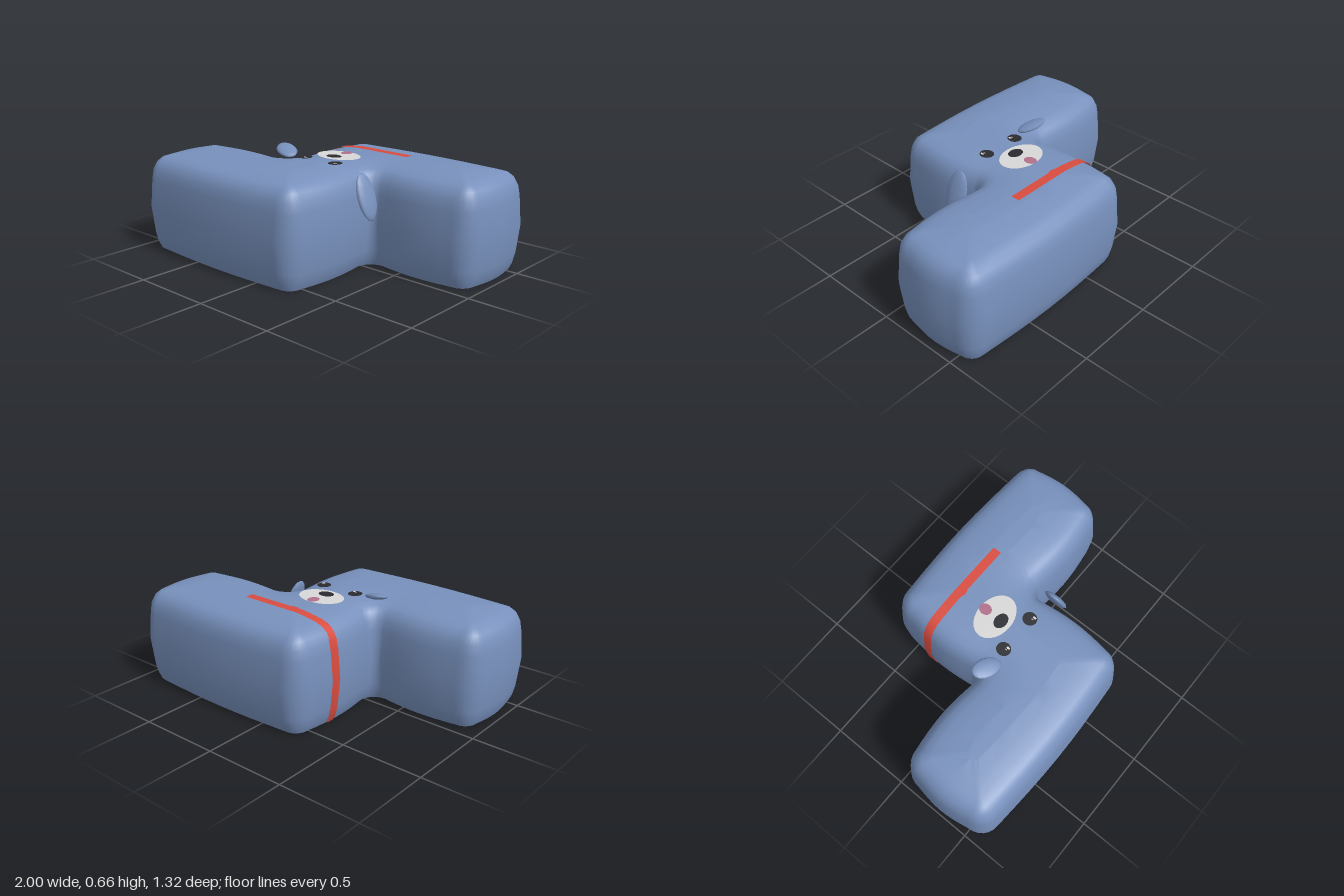
import * as THREE from 'three';

const mat = (name, color, side = THREE.FrontSide) => {
  const m = new THREE.MeshStandardMaterial({ color, side });
  m.name = name;
  return m;
};

// Side profile of the shell: [height, inset from the widest outline]
const PROFILE = [[0, 0.05], [0.04, 0.032], [0.1, 0.018], [0.27, 0], [0.44, 0.015], [0.5, 0.026],
  [0.545, 0.05], [0.572, 0.085], [0.587, 0.13], [0.598, 0.2], [0.606, 0.27]];

// Corners (x, z) of the S-shaped plan, clockwise from above
const CORNERS = [[-0.977, 0.025], [-0.302, 0.025], [-0.302, -0.64], [0.977, -0.64],
  [0.977, -0.025], [0.302, -0.025], [0.302, 0.64], [-0.977, 0.64]].map(([x, z]) => new THREE.Vector2(x, z));
const BOW = 0.022;

// Plan outline inset by d, with rounded corners and slightly bowed edges
function outline(d) {
  const n = CORNERS.length;
  const dirs = CORNERS.map((c, i) => CORNERS[(i + 1) % n].clone().sub(c).normalize());
  const arcs = CORNERS.map((c, i) => {
    const d1 = dirs[(i + n - 1) % n], d2 = dirs[i];
    const corner = c.clone().add(new THREE.Vector2(-d1.y - d2.y, d1.x + d2.x).multiplyScalar(d));
    const convex = d1.cross(d2) > 0;
    const r = convex ? Math.max(0.13 - d, 0.03) : 0.05 + d;
    const mid = corner.addScaledVector(d1, -r).addScaledVector(d2, r);
    return Array.from({ length: 7 }, (_, k) => {
      const t = (k / 6) * Math.PI / 2;
      return mid.clone().addScaledVector(d1, r * Math.sin(t)).addScaledVector(d2, -r * Math.cos(t));
    });
  });
  const pts = [];
  arcs.forEach((arc, i) => {
    pts.push(...arc);
    const a = arc[6], b = arcs[(i + 1) % n][0], dir = dirs[i];
    for (let k = 1; k < 8; k++) {
      const p = a.clone().lerp(b, k / 8);
      pts.push(p.addScaledVector(new THREE.Vector2(dir.y, -dir.x), BOW * Math.sin(Math.PI * k / 8)));
    }
  });
  return pts;
}

// Open-bottomed cushion-like shell built from stacked outlines and a flat cap
function bodyGeometry() {
  const rings = PROFILE.map(([, d]) => outline(d));
  const n = rings[0].length, pos = [], idx = [];
  rings.forEach((ring, i) => ring.forEach(p => pos.push(p.x, PROFILE[i][0], p.y)));
  for (let i = 0; i < rings.length - 1; i++) {
    for (let j = 0; j < n; j++) {
      const a = i * n + j, b = i * n + (j + 1) % n;
      idx.push(a, a + n, b, b, a + n, b + n);
    }
  }
  const top = rings[rings.length - 1], base = (rings.length - 1) * n;
  for (const [a, b, c] of THREE.ShapeUtils.triangulateShape(top, [])) {
    const up = top[b].clone().sub(top[a]).cross(top[c].clone().sub(top[a])) < 0;
    idx.push(base + a, base + (up ? b : c), base + (up ? c : b));
  }
  const g = new THREE.BufferGeometry();
  g.setAttribute('position', new THREE.Float32BufferAttribute(pos, 3));
  g.setIndex(idx);
  g.computeVertexNormals();
  return g;
}

// Band following the shell profile up the side wall and across the top
function collarGeometry(offset) {
  const path = PROFILE.map(([y, d]) => [-0.302 - BOW + d - offset, Math.max(0, y + offset * (y > 0.5 ? 1 : 0))]);
  path.push([0.33, 0.606 + offset]);
  const g = new THREE.PlaneGeometry(1, 1, path.length - 1, 1);
  const p = g.attributes.position;
  for (let i = 0; i < p.count; i++) {
    const [x, y] = path[i % path.length];
    p.setXYZ(i, x, y, i < path.length ? -0.368 : -0.314);
  }
  g.computeVertexNormals();
  return g;
}

export function createModel() {
  const group = new THREE.Group();
  const fur = mat('blue fur', 0x7891bd, THREE.DoubleSide);
  const red = mat('collar red', 0xd94c40, THREE.DoubleSide);
  const pale = mat('muzzle white', 0xd8d8d8);
  const dark = mat('dark', 0x2a2b30);
  const pink = mat('tongue pink', 0xb0708a);

  const add = (name, geometry, material) => {
    const m = new THREE.Mesh(geometry, material);
    m.name = name;
    group.add(m);
    return m;
  };
  // Thin flat ellipse lying on the top surface
  const spot = (name, material, x, z, rx, rz, y) => {
    const m = add(name, new THREE.CircleGeometry(1, 32), material);
    m.rotation.x = -Math.PI / 2;
    m.scale.set(rx, rz, 1);
    m.position.set(x, y, z);
  };

  add('body', bodyGeometry(), fur);
  add('collar', collarGeometry(0.004), red);
  add('collarInside', collarGeometry(-0.004), red);
  spot('collarTag', red, 0, -0.318, 0.03, 0.012, 0.611);

  // Face
  spot('muzzle', pale, 0, -0.085, 0.145, 0.105, 0.609);
  spot('nose', dark, 0, -0.042, 0.049, 0.037, 0.612);
  spot('tongue', pink, 0, -0.156, 0.033, 0.039, 0.612);
  for (const [side, x] of [['left', 0.115], ['right', -0.12]]) {
    spot(side + 'Eye', dark, x, 0.076, 0.041, 0.043, 0.609);
    spot(side + 'EyeGlint', pale, x + 0.02, 0.094, 0.007, 0.012, 0.612);
    spot(side + 'EyeSmallGlint', pale, x + 0.006, 0.09, 0.003, 0.007, 0.612);
  }

  // Ears: flattened ellipsoids along a long axis, with a given flat-side normal
  const ear = (name, center, long, normal, size) => {
    const l = new THREE.Vector3(...long).normalize();
    const w = new THREE.Vector3(...normal).cross(l).normalize();
    const m = add(name, new THREE.SphereGeometry(1, 10, 8), fur);
    m.quaternion.setFromRotationMatrix(new THREE.Matrix4().makeBasis(w, l, w.clone().cross(l)));
    m.scale.set(...size);
    m.position.set(...center);
  };
  ear('leftEar', [0.357, 0.455, 0.083], [0.33, -1, 0], [1, 0.33, 0], [0.076, 0.138, 0.024]);
  ear('rightEar', [-0.272, 0.628, 0.078], [-0.9, 0.25, -0.38], [0.17, 0.94, 0.25], [0.058, 0.09, 0.018]);
  return group;
}
